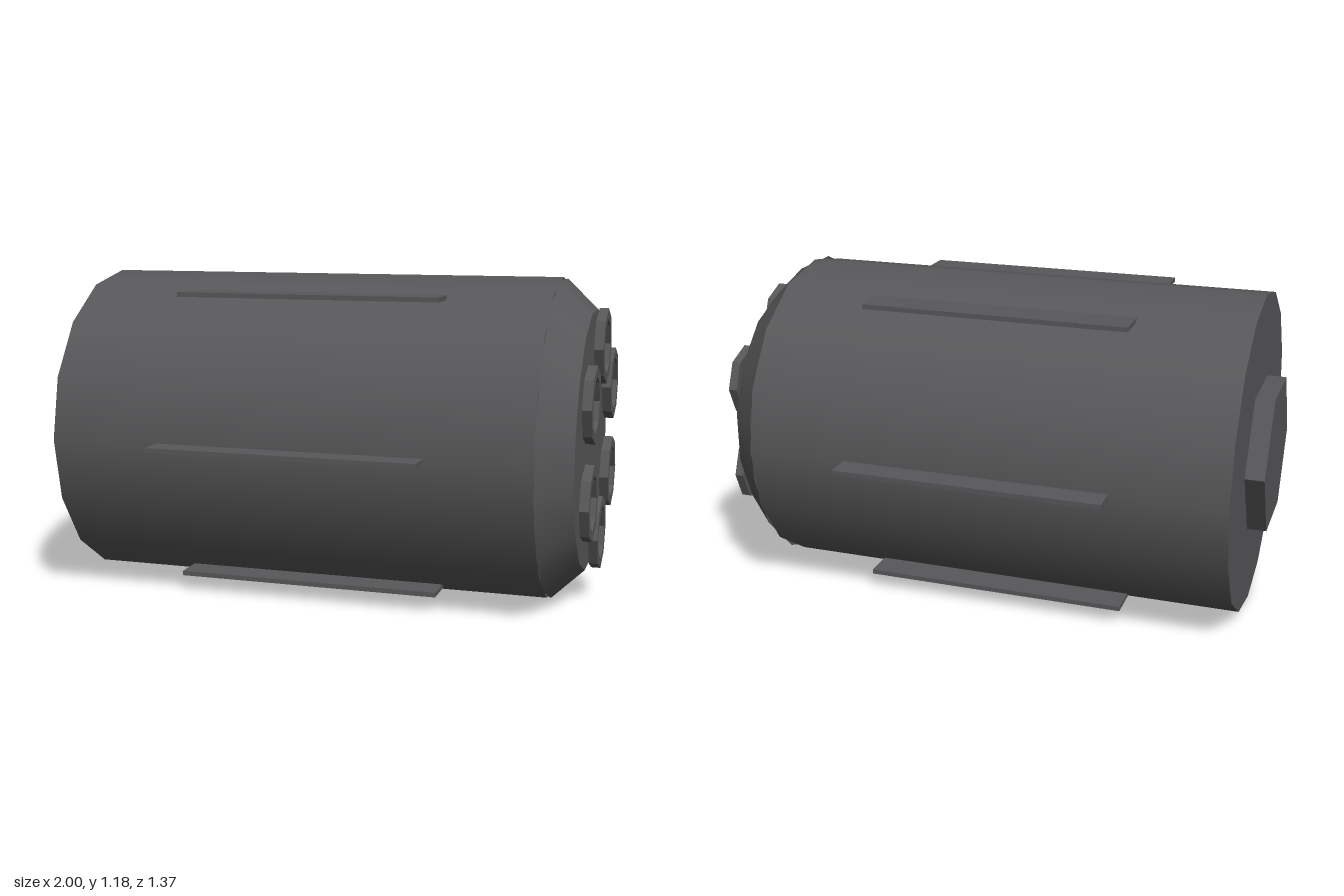
import * as THREE from 'three';

export function createModel() {
  const model = new THREE.Group();
  model.name = 'revolvingDrum';
  const AXIS = 0.595; // height of the drum's long axis
  const gunmetal = new THREE.MeshStandardMaterial({ color: 0x58585a });
  gunmetal.name = 'gunmetal';

  function add(name, geometry, x, y = AXIS, z = 0) {
    const mesh = new THREE.Mesh(geometry, gunmetal);
    mesh.name = name;
    mesh.position.set(x, y, z);
    model.add(mesh);
    return mesh;
  }

  // Prism or cone along x, from x0 (radius r0) to x1 (radius r1)
  function alongX(name, x0, x1, r0, r1, sides, turn = 0, flat = false) {
    let g = new THREE.CylinderGeometry(r1, r0, x1 - x0, sides, 1, false, turn);
    if (flat) {
      g = g.toNonIndexed();
      g.computeVertexNormals();
    }
    g.rotateZ(-Math.PI / 2);
    add(name, g, (x0 + x1) / 2);
  }

  alongX('drumBody', -0.93, 0.835, 0.592, 0.592, 16);
  alongX('bevelledFront', 0.835, 0.953, 0.592, 0.48, 16, Math.PI / 16);
  alongX('rearHexHub', -1, -0.93, 0.288, 0.288, 6, 0, true);

  // Octagonal muzzle ring, extruded along x
  const octagon = (r, Kind) => new Kind(Array.from({ length: 8 }, (_, i) =>
    new THREE.Vector2(r * Math.cos(i * Math.PI / 4), r * Math.sin(i * Math.PI / 4))));
  const ringShape = octagon(0.137, THREE.Shape);
  ringShape.holes.push(octagon(0.099, THREE.Path));
  const ring = new THREE.ExtrudeGeometry(ringShape, { depth: 0.033, bevelEnabled: false });
  ring.rotateY(Math.PI / 2);

  // Six rings on the front face and six level fins around the body
  const fin = new THREE.BoxGeometry(0.98, 0.017, 0.156);
  for (let i = 0; i < 6; i++) {
    const a = i * Math.PI / 3;
    add('muzzleRing' + (i + 1), ring, 0.967,
      AXIS + 0.346 * Math.cos(a), 0.346 * Math.sin(a));
    add('sideFin' + (i + 1), fin, -0.03,
      AXIS + 0.608 * Math.sin(a), 0.608 * Math.cos(a));
  }
  return model;
}
